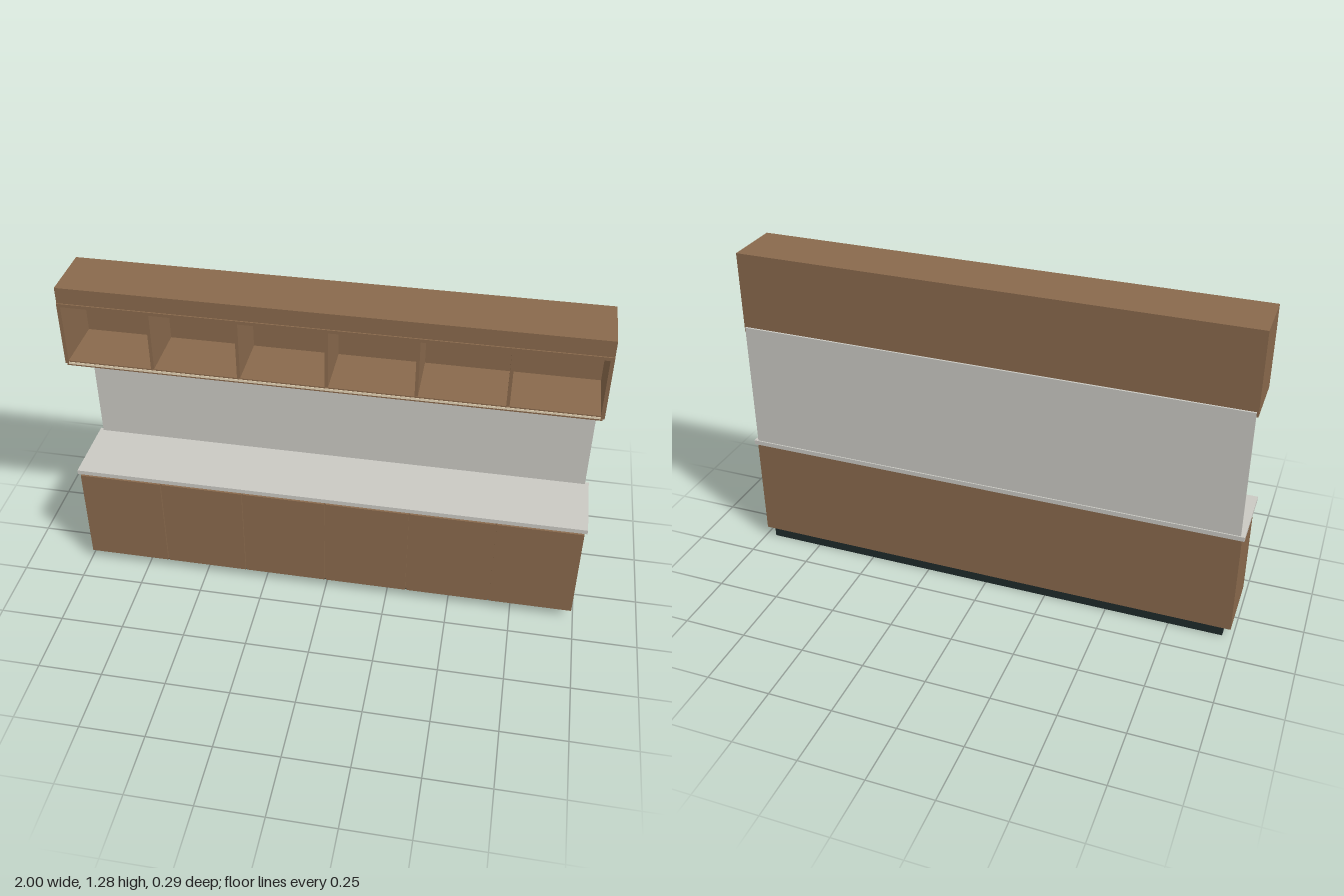
import * as THREE from 'three';

export function createModel() {
  const model = new THREE.Group();
  model.name = 'kitchenWall';

  const material = (name, color) => {
    const m = new THREE.MeshStandardMaterial({ color });
    m.name = name;
    return m;
  };
  const wood = material('walnut', 0x89694c);
  const stone = material('paleStone', 0xcac9c3);
  const plinthDark = material('plinthDark', 0x1f2a2b);
  const lightStrip = material('warmLight', 0xf0dfc0);

  // Box given by its limits on each axis
  const box = (name, mat, x0, x1, y0, y1, z0, z1, parent = model) => {
    const mesh = new THREE.Mesh(new THREE.BoxGeometry(x1 - x0, y1 - y0, z1 - z0), mat);
    mesh.position.set((x0 + x1) / 2, (y0 + y1) / 2, (z0 + z1) / 2);
    mesh.name = name;
    parent.add(mesh);
    return mesh;
  };

  // Base cabinet
  box('plinth', plinthDark, -0.96, 0.96, 0, 0.043, -0.125, 0.093);
  box('baseCarcass', wood, -0.99, 0.99, 0.043, 0.452, -0.135, 0.118);

  // Doors float in front of the carcass, with seam strips behind the joints
  const doors = new THREE.Group();
  doors.name = 'baseDoors';
  model.add(doors);
  const count = 6;
  const pitch = 1.98 / count;
  for (let i = 0; i < count; i++) {
    const x = -0.99 + i * pitch;
    box('door', wood, x + (i ? 0.003 : 0), x + pitch - (i < count - 1 ? 0.003 : 0), 0.045, 0.448, 0.133, 0.142, doors);
  }
  for (let i = 0; i <= count; i++) {
    const x = THREE.MathUtils.clamp(-0.99 + i * pitch, -0.984, 0.984);
    box('doorSeam', wood, x - 0.006, x + 0.006, 0.042, 0.45, 0.128, 0.132, doors);
  }
  box('gripShadow', plinthDark, -0.98, 0.98, 0.444, 0.454, 0.119, 0.128, doors);

  // Worktop and splashback
  box('worktop', stone, -1, 1, 0.456, 0.474, -0.143, 0.143);
  box('splashback', stone, -0.985, 0.985, 0.474, 0.98, -0.138, -0.1305);

  // Open wall shelves
  const upper = new THREE.Group();
  upper.name = 'wallShelves';
  model.add(upper);
  box('header', wood, -0.992, 0.992, 1.209, 1.283, -0.13, 0.1, upper);
  box('shelfBottom', wood, -0.98, 0.98, 0.963, 0.976, -0.13, 0.1, upper);
  box('shelfBack', wood, -0.98, 0.98, 0.976, 1.209, -0.13, -0.118, upper);
  for (const s of [-1, 1]) {
    const a = s * 0.992, b = s * 0.978;
    box('shelfSide', wood, Math.min(a, b), Math.max(a, b), 0.96, 1.209, -0.13, 0.1, upper);
  }
  for (let i = 1; i < count; i++) {
    const x = -0.98 + (i * 1.96) / count;
    box('divider', wood, x - 0.006, x + 0.006, 0.976, 1.209, -0.118, 0.103, upper);
  }

  // Slightly raised front frame
  const frame = new THREE.Shape();
  frame.moveTo(-0.992, 0.963).lineTo(0.992, 0.963).lineTo(0.992, 1.22).lineTo(-0.992, 1.22).closePath();
  const opening = new THREE.Path();
  opening.moveTo(-0.978, 0.976).lineTo(-0.978, 1.207).lineTo(0.978, 1.207).lineTo(0.978, 0.976).closePath();
  frame.holes.push(opening);
  const frameMesh = new THREE.Mesh(
    new THREE.ExtrudeGeometry(frame, { depth: 0.005, bevelEnabled: false }), wood);
  frameMesh.position.z = 0.1;
  frameMesh.name = 'frontFrame';
  upper.add(frameMesh);

  // Light strip and rear lip under the shelves
  box('underShelfLight', lightStrip, -0.978, 0.978, 0.962, 0.971, 0.105, 0.107, upper);
  box('frontLip', wood, -0.985, 0.985, 0.957, 0.963, 0.1, 0.107, upper);
  box('rearLip', wood, -0.985, 0.985, 0.957, 0.963, -0.13, -0.122, upper);

  return model;
}
